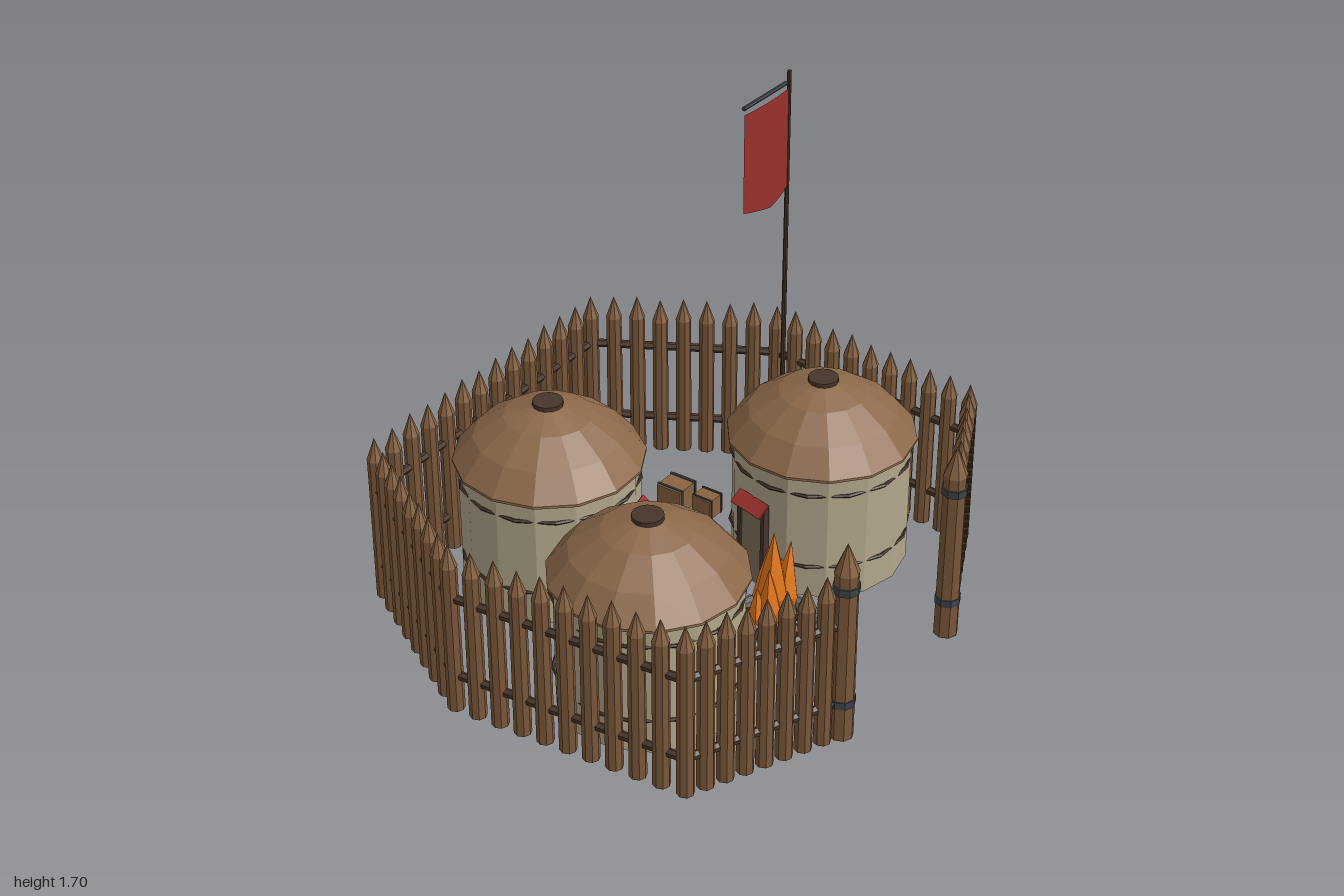
import * as THREE from 'three';

const mat = (color, side = THREE.FrontSide) =>
  new THREE.MeshStandardMaterial({ color, flatShading: true, side });
const wood = mat(0x7a5739), tipWood = mat(0x84603f), darkWood = mat(0x46352a);
const iron = mat(0x3d444b), hide = mat(0xb3a88c), thatch = mat(0x8c6849);
const cloth = mat(0x98302b, THREE.DoubleSide), stone = mat(0x62625f);
const flameMat = mat(0xe8791c), coreMat = mat(0xf0c040), crateWood = mat(0x8a6340);

function add(parent, name, geometry, material, x = 0, y = 0, z = 0) {
  const m = new THREE.Mesh(geometry, material);
  m.name = name;
  m.position.set(x, y, z);
  parent.add(m);
  return m;
}

// Cylinder stretched between two points
function rod(parent, name, a, b, r, material, sides = 6) {
  const d = b.clone().sub(a);
  const m = add(parent, name, new THREE.CylinderGeometry(r, r, d.length(), sides), material);
  m.position.copy(a).add(b).multiplyScalar(0.5);
  m.quaternion.setFromUnitVectors(new THREE.Vector3(0, 1, 0), d.normalize());
  return m;
}

const V = (x, y, z) => new THREE.Vector3(x, y, z);
const lathe = (pts, sides) => new THREE.LatheGeometry(pts.map(p => new THREE.Vector2(...p)), sides);

// Pointed post: straight shaft with a sharpened top
function stake(parent, name, x, z, r, shaft, top) {
  const g = new THREE.Group();
  g.name = name;
  g.position.set(x, 0, z);
  add(g, 'shaft', new THREE.CylinderGeometry(r * 0.95, r, shaft, 8), wood, 0, shaft / 2);
  add(g, 'point', new THREE.ConeGeometry(r, top - shaft, 8), tipWood, 0, (top + shaft) / 2);
  parent.add(g);
  return g;
}

function buildPalisade() {
  const g = new THREE.Group();
  g.name = 'palisade';
  const corners = [[-0.345, 0.865], [-0.885, 0.615], [-0.97, -0.27], [-0.62, -0.89],
    [0.62, -0.89], [0.97, -0.27], [0.885, 0.615], [0.345, 0.865]];
  const counts = [8, 10, 8, 13, 8, 10, 8];
  counts.forEach((n, s) => {
    const [ax, az] = corners[s], [bx, bz] = corners[s + 1];
    for (let i = s === 0 ? 1 : 0; i < n; i++) {
      const t = i / n, wob = 0.006 * Math.sin(i * 2.3 + s);
      stake(g, 'stake', ax + (bx - ax) * t, az + (bz - az) * t, 0.031, 0.575 + wob, 0.662 + wob);
    }
    for (const y of [0.14, 0.455]) rod(g, 'rail', V(ax, y, az), V(bx, y, bz), 0.016, darkWood);
  });
  // Gate posts with iron bands
  for (const x of [-0.345, 0.345]) {
    const post = stake(g, 'gatePost', x, 0.865, 0.044, 0.66, 0.77);
    for (const y of [0.147, 0.6])
      add(post, 'ironBand', new THREE.CylinderGeometry(0.047, 0.047, 0.028, 8), iron, 0, y);
  }
  return g;
}

function buildHut(x, z) {
  const g = new THREE.Group();
  g.name = 'hut';
  g.position.set(x, 0, z);
  g.rotation.y = Math.atan2(-x, 0.08 - z); // doorway looks at the yard centre
  add(g, 'wall', new THREE.CylinderGeometry(0.325, 0.325, 0.51, 14), hide, 0, 0.255);
  add(g, 'roof', lathe([[0, 0.5], [0.345, 0.5], [0.345, 0.51], [0.27, 0.6], [0.16, 0.675],
    [0.05, 0.715], [0, 0.715]], 14), thatch);
  add(g, 'roofCap', new THREE.CylinderGeometry(0.055, 0.055, 0.026, 14), darkWood, 0, 0.716);
  for (const y of [0.13, 0.43]) {
    const band = add(g, 'wallBand', new THREE.TorusGeometry(0.325, 0.007, 5, 14), darkWood, 0, y);
    band.rotation.x = Math.PI / 2;
  }
  // Doorway with posts and a small sloping awning
  add(g, 'doorFlap', new THREE.BoxGeometry(0.11, 0.31, 0.02), mat(0x7d7058), 0, 0.155, 0.322);
  for (const s of [-1, 1])
    add(g, 'doorPost', new THREE.BoxGeometry(0.018, 0.34, 0.025), darkWood, s * 0.062, 0.17, 0.327);
  add(g, 'doorLintel', new THREE.BoxGeometry(0.14, 0.02, 0.025), darkWood, 0, 0.33, 0.327);
  const awning = add(g, 'awning', new THREE.BoxGeometry(0.15, 0.008, 0.06), cloth, 0, 0.336, 0.343);
  awning.rotation.x = 0.7;
  return g;
}

function buildCampfire() {
  const g = new THREE.Group();
  g.name = 'campfire';
  g.position.set(0, 0, 0.37);
  // Ring of stones
  for (let i = 0; i < 10; i++) {
    const a = i / 10 * Math.PI * 2;
    const s = add(g, 'hearthStone', lathe([[0, -0.034], [0.018, -0.034], [0.027, -0.024],
      [0.027, 0.024], [0.018, 0.034], [0, 0.034]], 8), stone,
    0.15 * Math.cos(a), 0.029, 0.15 * Math.sin(a));
    s.rotation.set(Math.PI / 2, 0, a, 'YXZ');
    s.rotation.set(Math.PI / 2, -a, 0, 'YXZ');
  }
  // Logs leaning inwards
  for (let i = 0; i < 8; i++) {
    const a = i / 8 * Math.PI * 2, c = Math.cos(a), s = Math.sin(a);
    rod(g, 'log', V(0.125 * c, 0.025, 0.125 * s), V(0.01 * c, 0.1, 0.01 * s), 0.016, darkWood);
  }
  // Flames: x, z, height, radius, sideways lean
  const flames = [[-0.01, 0, 0.37, 0.06, 0], [0.04, 0.02, 0.3, 0.048, 0.03],
    [-0.05, 0.015, 0.25, 0.045, -0.01], [0.065, -0.02, 0.21, 0.036, 0.01],
    [-0.07, -0.02, 0.17, 0.036, -0.01], [0, -0.04, 0.28, 0.045, 0.02]];
  for (const [x, z, h, r, lean] of flames) {
    const geo = lathe([[0, 0], [r * 0.65, 0.02], [r, h * 0.3], [r * 0.6, h * 0.62], [0, h]], 5);
    const p = geo.attributes.position;
    for (let i = 0; i < p.count; i++) p.setX(i, p.getX(i) + lean * (p.getY(i) / h) ** 2);
    geo.computeVertexNormals();
    add(g, 'flame', geo, flameMat, x, 0.055, z);
  }
  add(g, 'flameCore', lathe([[0, 0], [0.035, 0.015], [0.03, 0.07], [0, 0.125]], 5), coreMat, 0, 0.06, 0.045);
  return g;
}

function buildBanner() {
  const g = new THREE.Group();
  g.name = 'banner';
  add(g, 'pole', new THREE.CylinderGeometry(0.008, 0.01, 1.7, 8), darkWood, 0.838, 0.85, -0.155);
  rod(g, 'crossbar', V(0.555, 1.658, -0.157), V(0.82, 1.658, -0.157), 0.008, iron);
  // Cloth billows forward and ends in a shallow point
  const geo = new THREE.PlaneGeometry(0.285, 0.38, 8, 4);
  const p = geo.attributes.position;
  for (let i = 0; i < p.count; i++) {
    const u = p.getX(i) / 0.1425, v = 0.5 - p.getY(i) / 0.38;
    p.setY(i, p.getY(i) - v * 0.028 * (1 - Math.abs(u)));
    p.setZ(i, 0.02 * (1 - u * u) * (0.4 + 0.6 * v));
  }
  geo.computeVertexNormals();
  add(g, 'bannerCloth', geo, cloth, 0.698, 1.445, -0.153);
  return g;
}

function buildCrate(x, z, w, h) {
  const g = new THREE.Group();
  g.name = 'crate';
  g.position.set(x, 0, z);
  add(g, 'crateBox', new THREE.BoxGeometry(w, h, w), crateWood, 0, h / 2);
  for (const s of [-1, 1])
    add(g, 'crateStrap', new THREE.BoxGeometry(w * 0.08, h + 0.006, w + 0.006), iron, s * w * 0.38, h / 2 + 0.001);
  return g;
}

export function createModel() {
  const model = new THREE.Group();
  model.name = 'palisadeCamp';
  model.add(buildPalisade());
  for (const [x, z] of [[-0.53, 0.215], [0.53, 0.215], [-0.16, -0.485]]) model.add(buildHut(x, z));
  model.add(buildCampfire(), buildBanner());
  model.add(buildCrate(0.45, -0.368, 0.107, 0.1), buildCrate(0.475, -0.245, 0.082, 0.08));
  return model;
}
